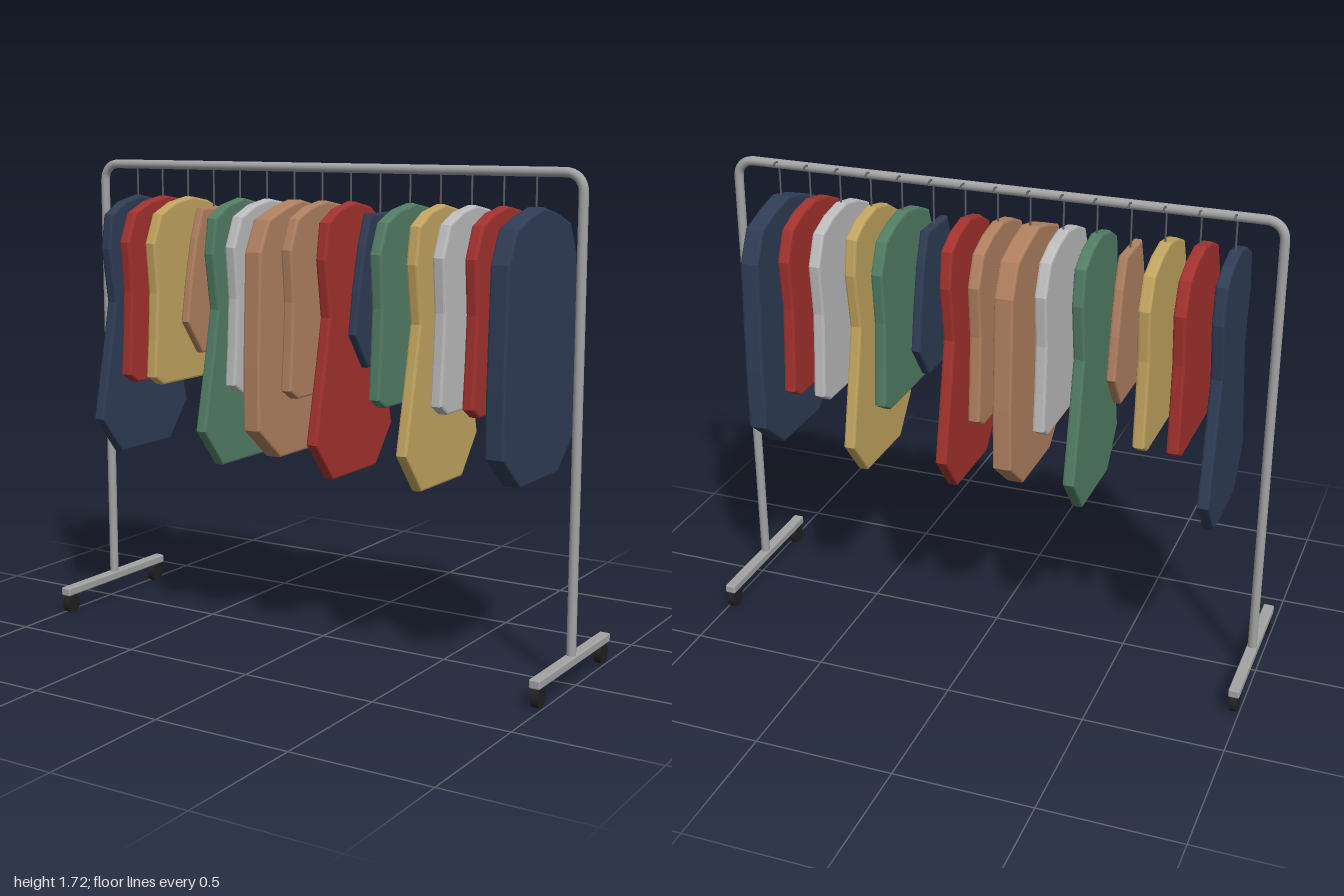
import * as THREE from 'three';
import { RoundedBoxGeometry } from 'three/addons/geometries/RoundedBoxGeometry.js';

function mat(name, color) {
  const m = new THREE.MeshStandardMaterial({ color });
  m.name = name;
  return m;
}

// Half outlines [z, y] of each garment, from the neck down to the hem
const OUTLINES = {
  coat: [[0, 1.59], [0.1, 1.568], [0.21, 1.53], [0.265, 1.42], [0.275, 1.2], [0.282, 1.02], [0.282, 0.8], [0.145, 0.685]],
  dress: [[0, 1.59], [0.1, 1.57], [0.18, 1.525], [0.2, 1.4], [0.17, 1.2], [0.2, 1.05], [0.262, 0.77], [0.148, 0.63]],
  shirt: [[0, 1.59], [0.1, 1.573], [0.19, 1.535], [0.236, 1.43], [0.22, 1.25], [0.23, 1.08], [0.242, 0.945], [0.19, 0.912]],
  skirt: [[0, 1.555], [0.09, 1.555], [0.13, 1.45], [0.165, 1.3], [0.19, 1.15], [0.1, 1.028]],
};
const THICKNESS = { coat: 0.068, dress: 0.042, shirt: 0.043, skirt: 0.033 };

// Mirrored outline, extruded along x with a small bevel
function garmentGeometry(kind) {
  const half = OUTLINES[kind];
  const other = half.slice(1).reverse().map(([z, y]) => [-z, y]);
  const shape = new THREE.Shape([...half, ...other].map(([z, y]) => new THREE.Vector2(z, y)));
  const bevel = 0.008;
  const depth = THICKNESS[kind] - 2 * bevel;
  const geo = new THREE.ExtrudeGeometry(shape, {
    depth, bevelEnabled: true, bevelSize: bevel, bevelThickness: bevel,
    bevelOffset: -bevel, bevelSegments: 2,
  });
  geo.translate(0, 0, -depth / 2);
  geo.rotateY(-Math.PI / 2);
  return geo;
}

// Wire hook: a stem that rises through the rail and curls over to the back
function hookGeometry(bottom) {
  const path = new THREE.CurvePath();
  const r = 0.025, y = 1.691;
  path.add(new THREE.LineCurve3(new THREE.Vector3(0, bottom, 0), new THREE.Vector3(0, y, 0)));
  const arc = [];
  for (let i = 0; i <= 8; i++) {
    const a = (i / 8) * Math.PI * 0.85;
    arc.push(new THREE.Vector3(0, y + r * Math.sin(a), -r + r * Math.cos(a)));
  }
  path.add(new THREE.CatmullRomCurve3(arc));
  return new THREE.TubeGeometry(path, 32, 0.0035, 6, false);
}

export function createModel() {
  const root = new THREE.Group();
  root.name = 'clothesRack';
  const metal = mat('brushed metal', 0xa3a3a3);
  const wire = mat('hook wire', 0x5c5f63);
  const rubber = mat('black rubber', 0x202020);
  const cloth = {
    navy: mat('navy cloth', 0x2f3d56),
    red: mat('red cloth', 0xa3322e),
    yellow: mat('mustard cloth', 0xc2a45f),
    tan: mat('tan cloth', 0xb08060),
    green: mat('green cloth', 0x527d64),
    grey: mat('light grey cloth', 0xbcbcbc),
  };

  function add(parent, name, geo, material, x = 0, y = 0, z = 0) {
    const mesh = new THREE.Mesh(geo, material);
    mesh.name = name;
    mesh.position.set(x, y, z);
    parent.add(mesh);
    return mesh;
  }

  // Bent tube frame: post, rounded corner, rail, rounded corner, post
  const X = 0.98, TOP = 1.704, R = 0.06;
  const v = (x, y) => new THREE.Vector3(x, y, 0);
  const corner = (s) => {
    const pts = [];
    for (let i = 0; i <= 6; i++) {
      const a = (i / 6) * Math.PI / 2;
      pts.push(v(s * (X - R + R * Math.cos(a)), TOP - R + R * Math.sin(a)));
    }
    return pts;
  };
  const framePath = new THREE.CurvePath();
  const points = [v(-X, 0.08), ...corner(-1), ...corner(1).reverse(), v(X, 0.08)];
  for (let i = 1; i < points.length; i++) framePath.add(new THREE.LineCurve3(points[i - 1], points[i]));
  add(root, 'frame', new THREE.TubeGeometry(framePath, 400, 0.0165, 16, false), metal);

  // Feet with two castors each
  for (const s of [-1, 1]) {
    const foot = new THREE.Group();
    foot.name = s < 0 ? 'rightFoot' : 'leftFoot';
    foot.position.x = s * X;
    root.add(foot);
    add(foot, 'footBar', new RoundedBoxGeometry(0.04, 0.032, 0.59, 2, 0.006), metal, 0, 0.086, 0);
    for (const z of [-0.26, 0.26]) {
      const wheel = new THREE.CylinderGeometry(0.035, 0.035, 0.025, 20);
      wheel.rotateZ(Math.PI / 2);
      add(foot, 'castor', wheel, rubber, 0, 0.035, z);
    }
  }

  // Garments in order along the rail
  const row = [
    ['dress', 'navy'], ['shirt', 'red'], ['shirt', 'yellow'], ['skirt', 'tan'], ['dress', 'green'],
    ['shirt', 'grey'], ['coat', 'tan'], ['shirt', 'tan'], ['dress', 'red'], ['skirt', 'navy'],
    ['shirt', 'green'], ['dress', 'yellow'], ['shirt', 'grey'], ['shirt', 'red'], ['coat', 'navy'],
  ];
  const geos = {}, hook = hookGeometry(1.58), skirtHook = hookGeometry(1.55);
  for (const kind of Object.keys(OUTLINES)) geos[kind] = garmentGeometry(kind);
  row.forEach(([kind, color], i) => {
    const x = -0.823 + i * 0.1171;
    add(root, kind, geos[kind], cloth[color], x);
    add(root, 'hangerHook', kind === 'skirt' ? skirtHook : hook, wire, x);
  });
  return root;
}
